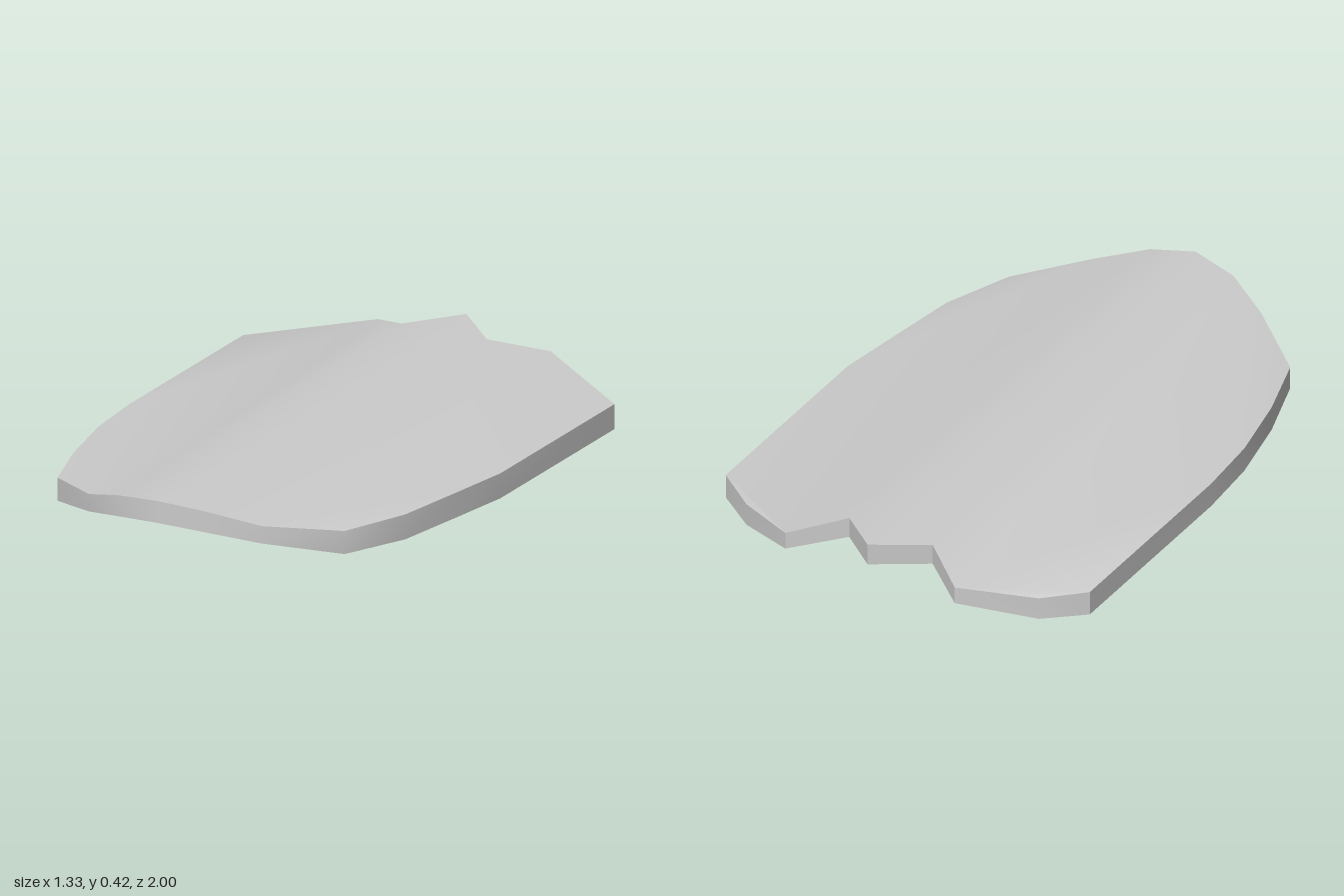
import * as THREE from 'three';
import { toCreasedNormals } from 'three/addons/utils/BufferGeometryUtils.js';

const material = new THREE.MeshStandardMaterial({ color: 0xcccccc });

// Half outline from front tip, round the side, to the rear spike:
// [x on the right, x on the left, z, top height, underside height]
const OUTLINE = [
  [-0.01, -0.01, 1.0, 0.416, 0.343],
  [-0.17, 0.135, 0.965, 0.397, 0.327],
  [-0.32, 0.3, 0.885, 0.35, 0.292],
  [-0.53, 0.5, 0.71, 0.314, 0.237],
  [-0.6, 0.59, 0.48, 0.313, 0.23],
  [-0.65, 0.63, 0.23, 0.313, 0.23],
  [-0.667, 0.665, 0, 0.313, 0.23],
  [-0.667, 0.665, -0.74, 0.313, 0.23],
  [-0.55, 0.52, -0.855, 0.314, 0.238],
  [-0.32, 0.3, -0.985, 0.35, 0.292],
  [-0.17, 0.135, -0.87, 0.397, 0.327],
  [-0.01, -0.01, -1.0, 0.416, 0.343],
];

// Lengthwise strips over the ridge, then fans out to the curved rim
const FACES = [
  [0, 1, 10], [0, 10, 11], [1, 2, 9], [1, 9, 10],
  [2, 3, 4], [2, 4, 5], [2, 5, 6], [2, 6, 9], [6, 7, 9], [7, 8, 9],
];

function plateGeometry() {
  const pos = [];
  for (const left of [true, false]) {
    const point = (i, top) => {
      const [xr, xl, z, yt, yb] = OUTLINE[i];
      return [left ? xl : xr, top ? yt : yb, z];
    };
    // the mirrored half needs its corners in reverse order
    const tri = (a, b, c) => pos.push(...a, ...(left ? b : c), ...(left ? c : b));

    for (const [a, b, c] of FACES) {
      tri(point(a, true), point(b, true), point(c, true));
      tri(point(a, false), point(c, false), point(b, false));
    }
    // rim wall
    for (let i = 0; i < OUTLINE.length - 1; i++) {
      tri(point(i, false), point(i + 1, false), point(i + 1, true));
      tri(point(i, false), point(i + 1, true), point(i, true));
    }
  }
  const geometry = new THREE.BufferGeometry();
  geometry.setAttribute('position', new THREE.Float32BufferAttribute(pos, 3));
  return toCreasedNormals(geometry, 0.53);
}

// U-shaped grip: a side profile extruded across x
function handleGeometry() {
  const [front, back, t, top, width] = [0.135, -0.38, 0.07, 0.36, 0.084];
  const profile = new THREE.Shape([
    [front, 0], [front, top], [front - t, top], [front - t, 0.085],
    [back + t, 0.085], [back + t, top], [back, top], [back, 0],
  ].map(([z, y]) => new THREE.Vector2(-z, y)));
  const geometry = new THREE.ExtrudeGeometry(profile, { depth: width, bevelEnabled: false });
  geometry.translate(0, 0, -width / 2);
  geometry.rotateY(Math.PI / 2);
  geometry.translate(-0.012, 0, 0);
  return geometry;
}

export function createModel() {
  const group = new THREE.Group();
  group.name = 'shield';

  const plate = new THREE.Mesh(plateGeometry(), material);
  plate.name = 'shieldPlate';

  const handle = new THREE.Mesh(handleGeometry(), material);
  handle.name = 'handle';

  group.add(plate, handle);
  return group;
}
